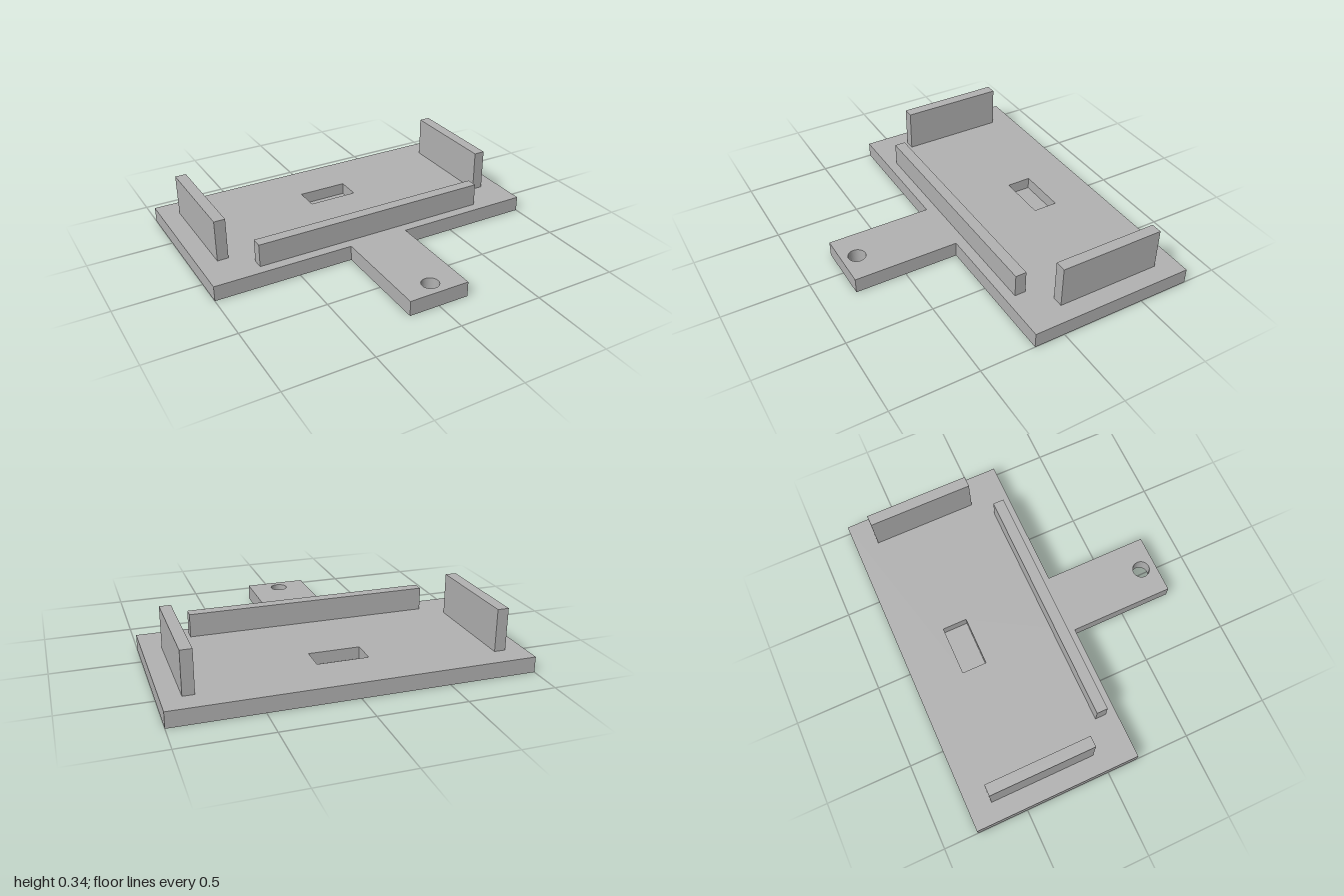
import * as THREE from 'three';

const THICK = 0.09; // base plate thickness
const FLOOR = 0.02; // material left under the blind pocket

export function createModel() {
  const model = new THREE.Group();
  model.name = 'deviceHolder';
  const grey = new THREE.MeshStandardMaterial({ color: 0xb2b2b2 });
  grey.name = 'grey';

  const add = (name, geometry) => {
    const mesh = new THREE.Mesh(geometry, grey);
    mesh.name = name;
    model.add(mesh);
  };
  // Box given by its limits on each axis
  const block = (name, x0, x1, y0, y1, z0, z1) =>
    add(name, new THREE.BoxGeometry(x1 - x0, y1 - y0, z1 - z0)
      .translate((x0 + x1) / 2, (y0 + y1) / 2, (z0 + z1) / 2));
  // Points are (x, z); the shape plane is turned flat below, so z is negated
  const points = (list) => list.map(([x, z]) => new THREE.Vector2(x, -z));

  // T-shaped base plate with tongue, pocket and hanging hole
  const outline = new THREE.Shape(points([
    [-1, 0.18], [-0.18, 0.18], [-0.18, 0.8], [0.18, 0.8],
    [0.18, 0.18], [1, 0.18], [1, -0.8], [-1, -0.8],
  ]));
  const pocket = new THREE.Path(points([
    [-0.147, -0.52], [0.147, -0.52], [0.147, -0.375], [-0.147, -0.375],
  ]));
  const hole = new THREE.Path().absarc(0, -0.71, 0.05, 0, Math.PI * 2, true);
  outline.holes.push(pocket, hole);
  add('basePlate', new THREE.ExtrudeGeometry(outline, {
    depth: THICK, bevelEnabled: false, curveSegments: 32,
  }).rotateX(-Math.PI / 2));

  // Closed bottom of the pocket
  block('pocketFloor', -0.147, 0.147, 0, FLOOR, -0.52, -0.375);

  // Upright walls
  block('leftWall', 0.825, 0.89, THICK, 0.335, -0.667, -0.047);
  block('rightWall', -0.89, -0.825, THICK, 0.335, -0.667, -0.047);
  block('frontRail', -0.71, 0.71, THICK, 0.225, 0.056, 0.121);

  return model;
}
